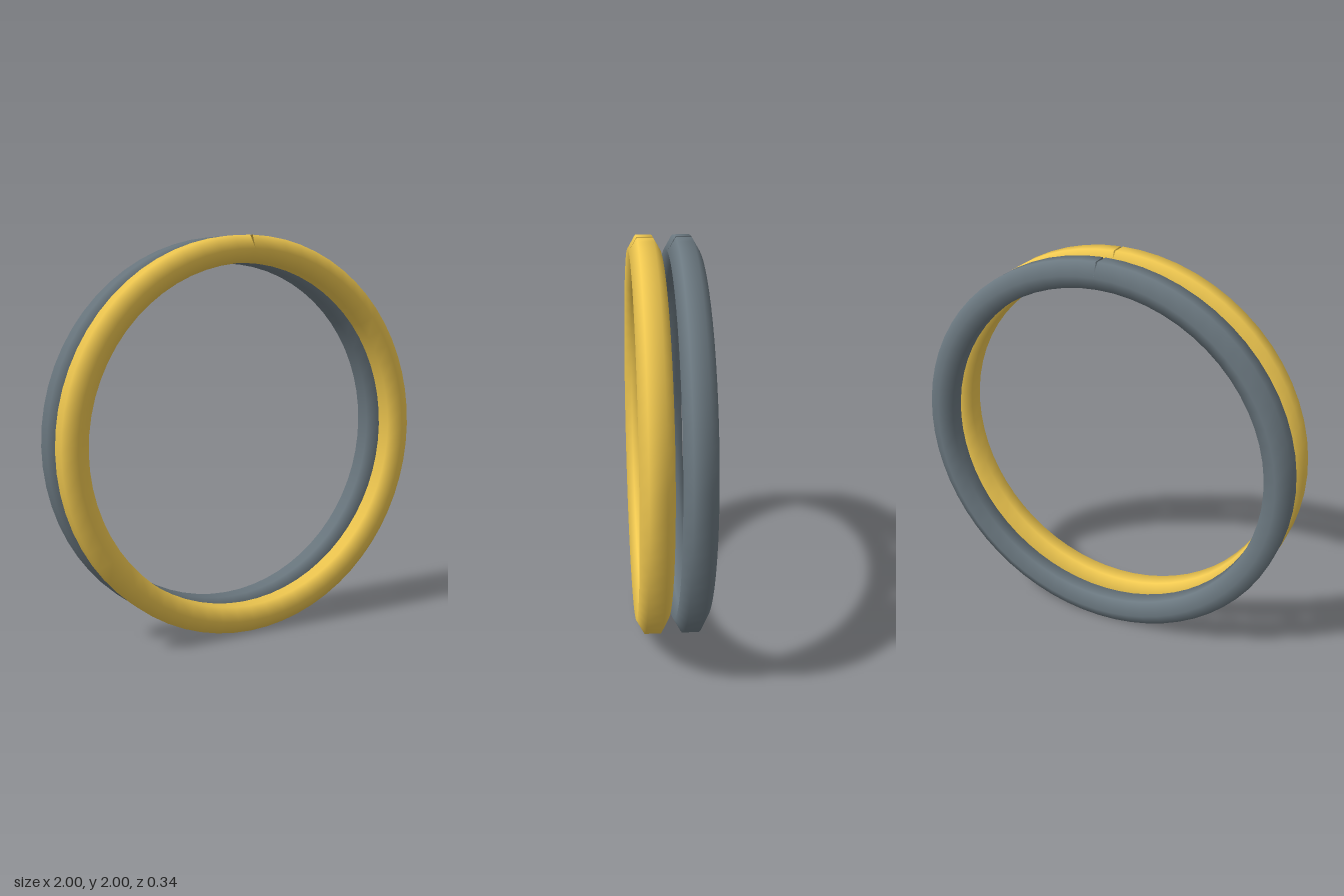
import * as THREE from 'three';
import { mergeVertices } from 'three/addons/utils/BufferGeometryUtils.js';

const SEGMENTS = 64, SIDES = 6;
const RING_RADIUS = 0.933, TUBE_RADIUS = 0.077;

// Hexagonal section swept round the z axis, with a hairline joint at the top
function ringGeometry() {
  const profile = [];
  for (let j = 0; j <= SIDES; j++) {
    const a = Math.PI / 6 + (j / SIDES) * Math.PI * 2;
    profile.push(new THREE.Vector2(RING_RADIUS + TUBE_RADIUS * Math.cos(a), TUBE_RADIUS * Math.sin(a)));
  }
  const geometry = new THREE.LatheGeometry(profile, SEGMENTS, Math.PI);
  geometry.rotateX(Math.PI / 2);

  // Pull the two ends slightly apart on the outer face
  const pos = geometry.attributes.position;
  const gaps = { 0: 0.007, [SIDES]: 0.007, [SIDES - 1]: 0.004 };
  for (const [j, gap] of Object.entries(gaps)) {
    pos.setX(Number(j), -gap);
    pos.setX(SEGMENTS * (SIDES + 1) + Number(j), gap);
  }

  // Weld the rest so that it shades smoothly
  geometry.deleteAttribute('uv');
  geometry.deleteAttribute('normal');
  const welded = mergeVertices(geometry, 1e-4);
  welded.computeVertexNormals();
  return welded;
}

export function createModel() {
  const group = new THREE.Group();
  group.name = 'ringPair';
  const geometry = ringGeometry();
  const rings = [
    ['frontRing', 0xf0c850, 0.093],
    ['backRing', 0x6b7880, -0.093],
  ];
  for (const [name, color, z] of rings) {
    const material = new THREE.MeshStandardMaterial({ color, side: THREE.DoubleSide });
    const ring = new THREE.Mesh(geometry, material);
    ring.name = name;
    ring.position.set(0, 1, z);
    group.add(ring);
  }
  return group;
}
